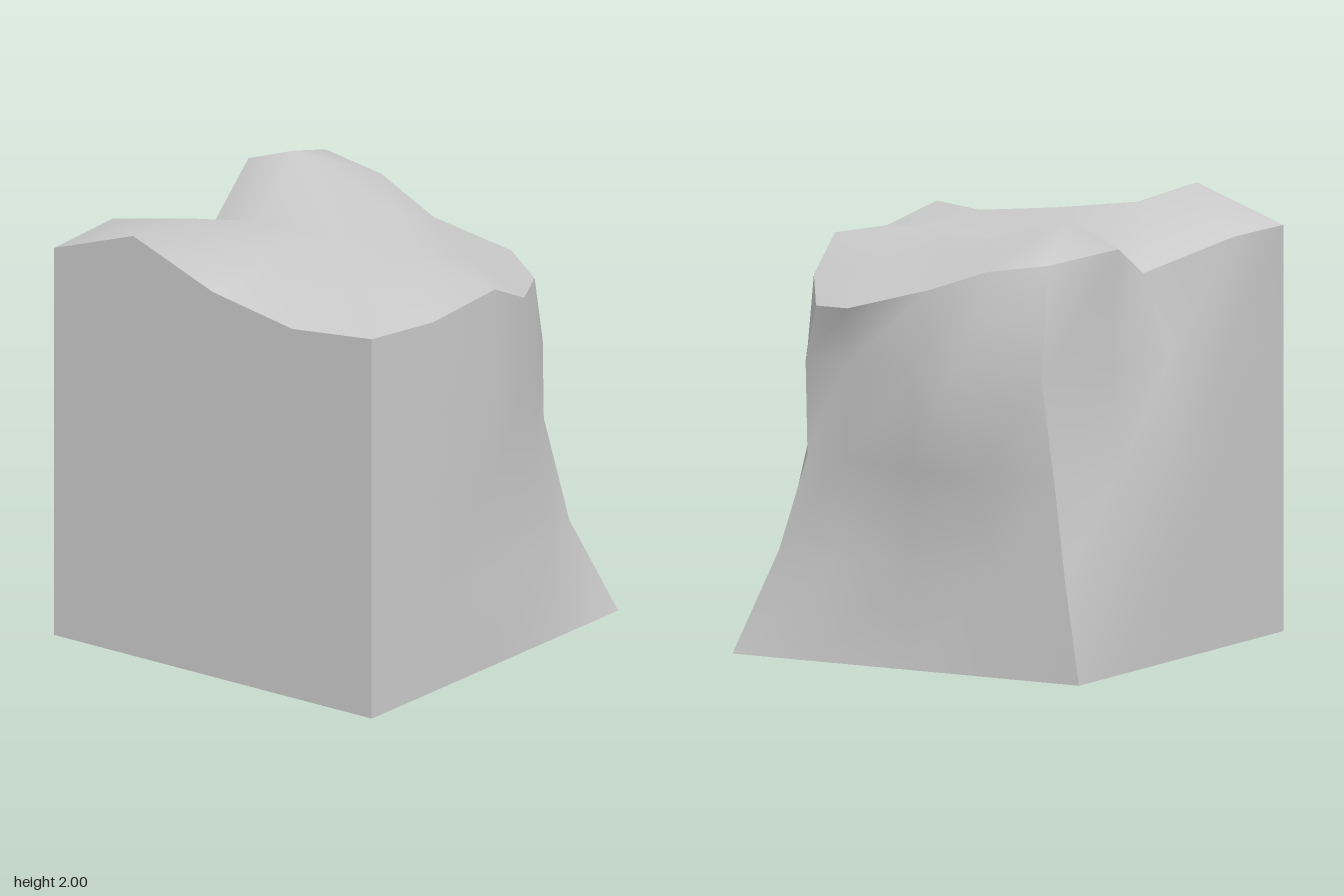
import * as THREE from 'three';

const SIZE = 1.78, SEG = 4, STEP = SIZE / SEG;
const X0 = -0.95, Z0 = -0.89;

// Worn top: rows from back to front, each point x, y, z from right side to left
const top = [
  [[-0.95, 1.82, -0.89], [-0.51, 1.83, -0.9], [-0.06, 1.71, -0.695], [0.36, 1.885, -0.815], [0.735, 1.85, -0.675]],
  [[-0.95, 1.975, -0.445], [-0.54, 1.945, -0.42], [-0.06, 1.79, -0.445], [0.31, 2.0, -0.52], [0.745, 1.8, -0.37]],
  [[-0.95, 1.81, 0], [-0.51, 1.885, 0.02], [-0.06, 1.8, 0], [0.34, 1.825, 0], [0.695, 1.685, -0.04]],
  [[-0.95, 1.735, 0.445], [-0.5, 1.84, 0.445], [-0.06, 1.83, 0.445], [0.31, 1.72, 0.42], [0.78, 1.585, 0.33]],
  [[-0.95, 1.785, 0.89], [-0.5, 1.735, 0.885], [-0.06, 1.765, 0.89], [0.24, 1.625, 0.82], [0.62, 1.555, 0.585]],
];

// Worn left side: rows upward from just above the base, points from back to front
const side = [
  [[0.83, 0.45, -0.82], [0.79, 0.45, -0.45], [0.79, 0.45, 0], [0.75, 0.45, 0.42], [0.645, 0.45, 0.76]],
  [[0.75, 0.89, -0.715], [0.88, 0.89, -0.38], [0.8, 0.89, -0.02], [0.69, 0.89, 0.4], [0.66, 0.89, 0.605]],
  [[0.865, 1.35, -0.72], [0.95, 1.37, -0.31], [0.88, 1.33, -0.06], [0.66, 1.33, 0.38], [0.575, 1.295, 0.665]],
];

// Shallow dents in the front and back, next to the worn side
const front = [[0.38, 0.445, 0.88], [0.36, 0.89, 0.78], [0.31, 1.32, 0.81]];
const back = [[0.385, 0.445, -0.875], [0.37, 0.89, -0.83], [0.38, 1.35, -0.785]];

// Looks up the moved position of grid corner (i, j, k), if it has one
function worn(i, j, k) {
  if (j === SEG) return top[k][i];
  if (j === 0) return null;
  if (i === SEG) return side[j - 1][k];
  if (i === SEG - 1 && k === SEG) return front[j - 1];
  if (i === SEG - 1 && k === 0) return back[j - 1];
  if (i === 2 && j === 3 && k === 0) return [-0.06, 1.335, -0.83];
  return null;
}

export function createModel() {
  const group = new THREE.Group();
  group.name = 'rock';

  // Block on a regular grid, then its corners are shifted; the six faces keep sharp edges
  const geometry = new THREE.BoxGeometry(SIZE, SIZE, SIZE, SEG, SEG, SEG);
  geometry.translate(X0 + SIZE / 2, SIZE / 2, 0);
  const pos = geometry.attributes.position;
  for (let n = 0; n < pos.count; n++) {
    const i = Math.round((pos.getX(n) - X0) / STEP);
    const j = Math.round(pos.getY(n) / STEP);
    const k = Math.round((pos.getZ(n) - Z0) / STEP);
    const p = worn(i, j, k);
    if (p) pos.setXYZ(n, ...p);
  }
  geometry.computeVertexNormals();

  const block = new THREE.Mesh(geometry, new THREE.MeshStandardMaterial({ color: 0xcccccc }));
  block.name = 'rockBlock';
  group.add(block);
  return group;
}
